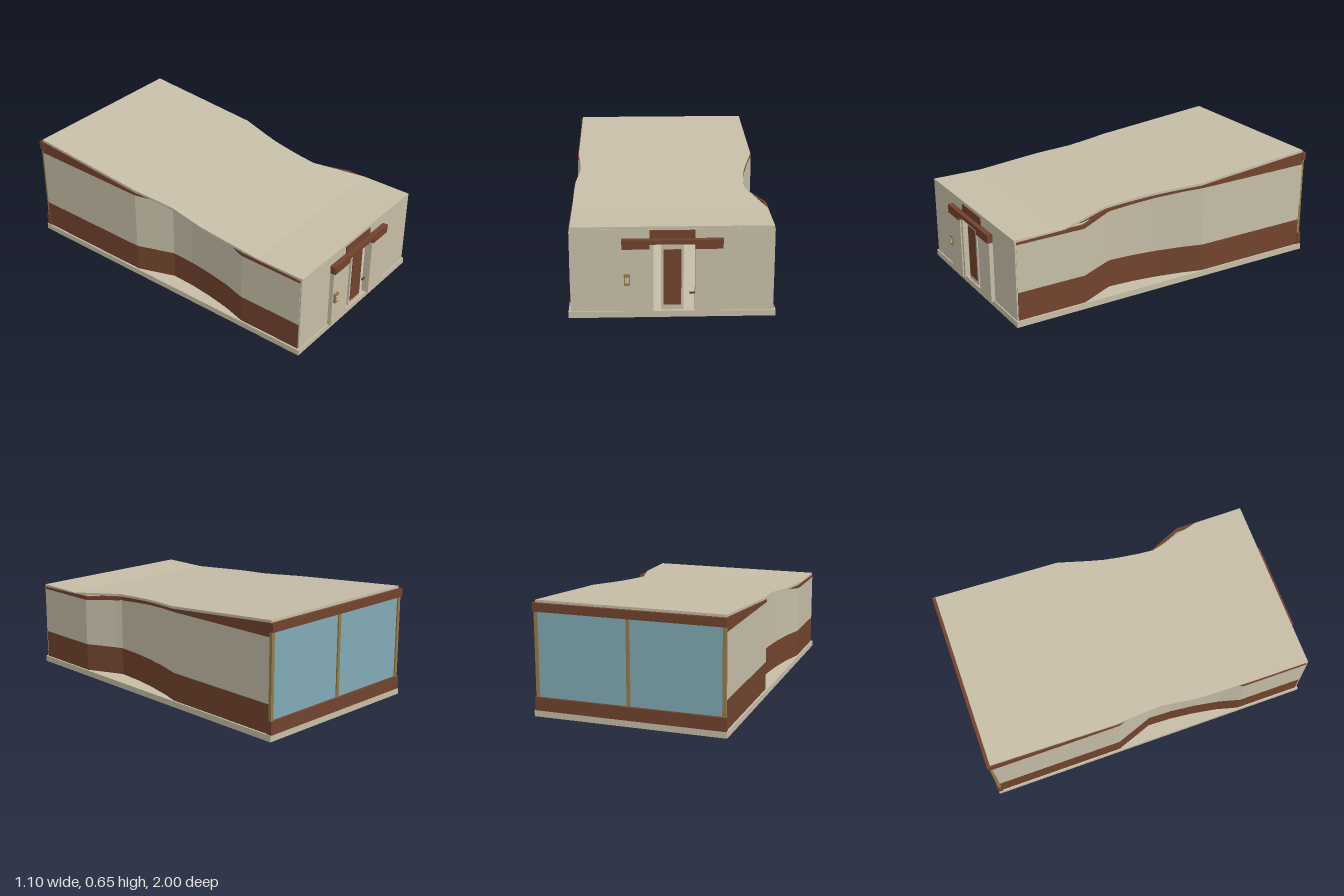
import * as THREE from 'three';

const mat = (name, color, side = THREE.FrontSide) => {
  const m = new THREE.MeshStandardMaterial({ color, side });
  m.name = name;
  return m;
};

export function createModel() {
  const cream = mat('cream plaster', 0xc6bda7);
  const brown = mat('brown cladding', 0x71432e);
  const glass = mat('blue glass', 0x82aab5, THREE.DoubleSide);
  const tan = mat('tan frame', 0x957b4c);

  const group = new THREE.Group();
  group.name = 'pavilion';

  const add = (name, geometry, material) => {
    const mesh = new THREE.Mesh(geometry, material);
    mesh.name = name;
    group.add(mesh);
    return mesh;
  };
  // Box given by its limits on each axis
  const box = (name, material, x0, x1, y0, y1, z0, z1) =>
    add(name, new THREE.BoxGeometry(x1 - x0, y1 - y0, z1 - z0), material)
      .position.set((x0 + x1) / 2, (y0 + y1) / 2, (z0 + z1) / 2);

  // Solid swept through four-cornered sections, front to back, with end caps
  const sweep = (sections) => {
    const pos = [];
    const quad = (a, b, c, d) => pos.push(...a, ...b, ...c, ...a, ...c, ...d);
    for (let i = 0; i < sections.length - 1; i++) {
      const s = sections[i], t = sections[i + 1];
      for (let k = 0; k < 4; k++) {
        const n = (k + 1) % 4;
        quad(s[k], t[k], t[n], s[n]);
      }
    }
    quad(...sections[0]);
    quad(...[...sections[sections.length - 1]].reverse());
    const g = new THREE.BufferGeometry();
    g.setAttribute('position', new THREE.Float32BufferAttribute(pos, 3));
    g.computeVertexNormals();
    return g;
  };

  // Roof is level near the front, then rises to the back
  const roofTop = (z) => 0.505 + 0.145 * Math.max(0, 0.66 - z) / 1.64;
  const roofUnder = (z) => roofTop(z) - 0.014;

  // Ground slab
  box('groundSlab', cream, -0.55, 0.55, 0, 0.035, -1, 0.965);

  // Side walls: points are [distance from centre, z, top of plaster]
  const leftPath = [
    [0.54, 0.95, 0.478], [0.54, 0.54, 0.48], [0.455, 0.36, 0.495], [0.44, 0.32, 0.5],
    [0.45, 0.17, 0.515], [0.47, 0.03, 0.53], [0.505, -0.13, 0.545],
    [0.54, -0.25, 0.555], [0.54, -0.98, 0.56],
  ];
  const rightPath = [
    [0.54, 0.95, 0.478], [0.54, 0.56, 0.48], [0.505, 0.43, 0.495], [0.48, 0.28, 0.51],
    [0.465, 0.14, 0.525], [0.46, 0.0, 0.535], [0.475, -0.04, 0.54],
    [0.54, -0.22, 0.555], [0.54, -0.98, 0.56],
  ];
  const wallBand = (path, side, low, high) => sweep(path.map(([d, z, top]) => {
    const a = low(z, top), b = high(z, top), inner = d - 0.015;
    const c = [[inner, a], [d, a], [d, b], [inner, b]];
    return (side > 0 ? c : c.reverse()).map(([x, y]) => [side * x, y, z]);
  }));
  for (const [label, side, path] of [['left', 1, leftPath], ['right', -1, rightPath]]) {
    add(label + 'WallBase', wallBand(path, side, () => 0.035, () => 0.2), brown);
    add(label + 'WallPlaster', wallBand(path, side, () => 0.2, (z, t) => t), cream);
    add(label + 'Fascia', wallBand(path, side, (z, t) => t, (z) => roofUnder(z)), brown);
  }

  // Roof sheet: rows are [z, right edge x, left edge x]
  const roofRows = [
    [0.96, -0.535, 0.535], [0.66, -0.535, 0.535], [0.35, -0.535, 0.437],
    [0.25, -0.533, 0.442], [0.15, -0.522, 0.452], [0.05, -0.511, 0.465],
    [-0.05, -0.516, 0.487], [-0.23, -0.533, 0.533], [-0.98, -0.535, 0.535],
  ];
  add('roof', sweep(roofRows.map(([z, r, l]) => {
    const y = roofTop(z), u = roofUnder(z);
    return [[r, u, z], [l, u, z], [l, y, z], [r, y, z]];
  })), cream);

  // Front wall with its doorway
  const front = new THREE.Shape();
  [[-0.538, 0.035], [-0.12, 0.035], [-0.12, 0.44], [0.12, 0.44], [0.12, 0.035],
    [0.538, 0.035], [0.538, 0.49], [-0.538, 0.49]]
    .forEach(([x, y], i) => (i ? front.lineTo(x, y) : front.moveTo(x, y)));
  const frontGeo = new THREE.ExtrudeGeometry(front, { depth: 0.02, bevelEnabled: false });
  add('frontWall', frontGeo.translate(0, 0, 0.938), cream);

  // Porch panels, lintel and the panel over the doorway
  for (const s of [-1, 1]) {
    const label = s > 0 ? 'left' : 'right';
    const a = Math.min(s * 0.12, s * 0.265), b = Math.max(s * 0.12, s * 0.265);
    box(label + 'PorchPanel', cream, a, b, 0.035, 0.39, 0.958, 0.982);
    box(label + 'LintelEnd', brown, a, b, 0.39, 0.416, 0.958, 0.99);
  }
  box('lintel', brown, -0.267, 0.267, 0.416, 0.44, 0.94, 0.99);
  box('overdoorPanel', brown, -0.12, 0.12, 0.44, 0.485, 0.955, 0.964);

  // Door standing in the open doorway
  box('doorJamb', cream, -0.12, -0.1, 0.035, 0.416, 0.94, 0.975);
  box('door', cream, -0.06, 0.06, 0.042, 0.412, 0.945, 0.962);
  box('doorPanelFront', brown, -0.047, 0.047, 0.07, 0.38, 0.962, 0.966);
  box('doorPanelBack', brown, -0.047, 0.047, 0.07, 0.38, 0.941, 0.945);
  box('doorHandle', brown, 0.093, 0.12, 0.126, 0.136, 0.945, 0.955);

  // Entry call box
  box('callBox', tan, -0.255, -0.223, 0.192, 0.252, 0.982, 0.995);
  box('callBoxPlate', cream, -0.249, -0.229, 0.207, 0.237, 0.995, 1.0);

  // Glazed back wall
  box('backSill', brown, -0.545, 0.545, 0.035, 0.11, -1, -0.972);
  box('backHeader', brown, -0.545, 0.545, 0.588, 0.636, -1, -0.972);
  box('backGlass', glass, -0.53, 0.53, 0.11, 0.588, -0.984, -0.978);
  for (const x of [-0.53, 0, 0.53])
    box('backMullion', tan, x - 0.01, x + 0.01, 0.11, 0.588, -0.992, -0.974);

  return group;
}
